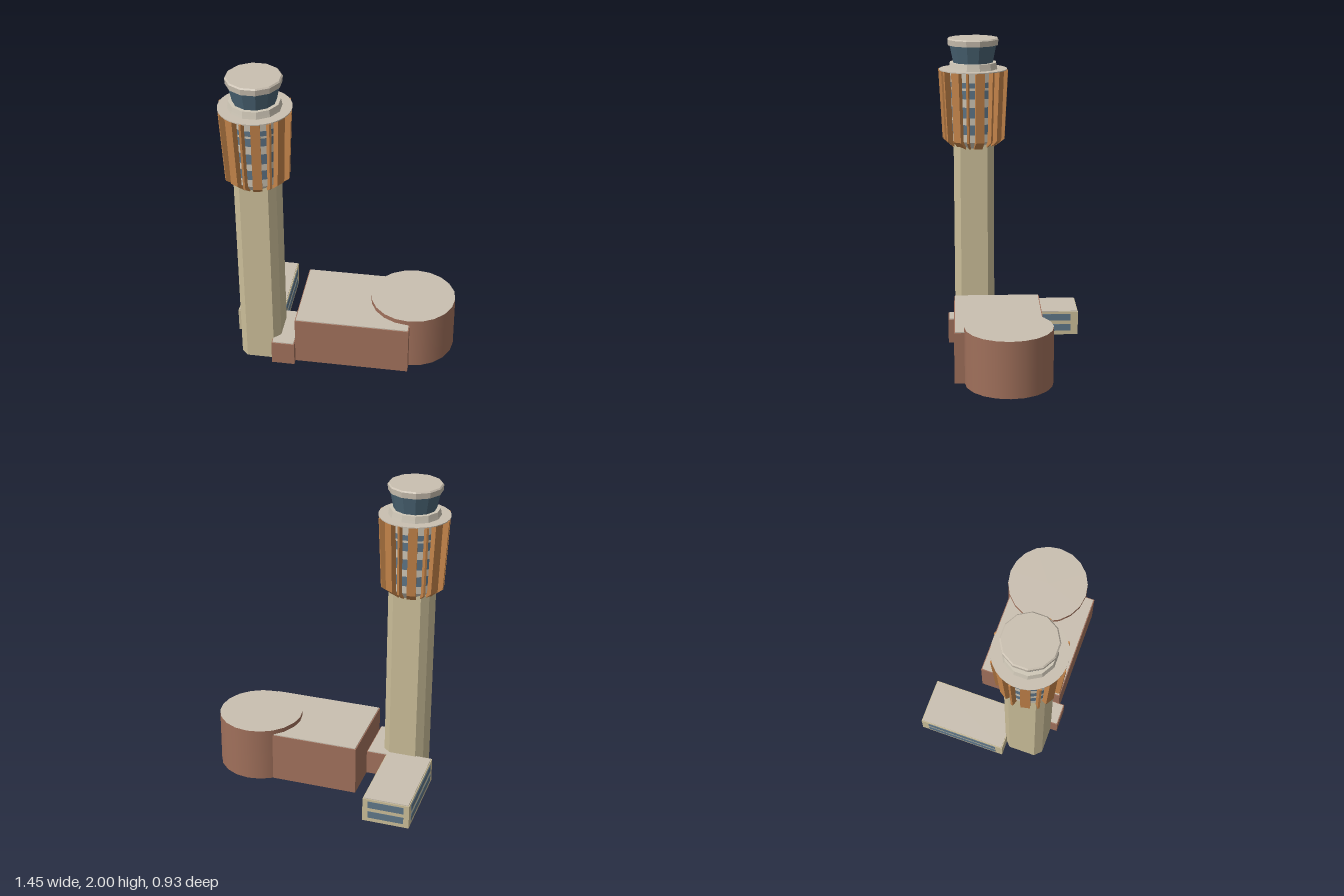
import * as THREE from 'three';

const mat = (name, color, side = THREE.FrontSide) => {
  const m = new THREE.MeshStandardMaterial({ color, side });
  m.name = name;
  return m;
};

export function createModel() {
  const model = new THREE.Group();
  model.name = 'controlTower';
  const D = THREE.DoubleSide;
  const concrete = mat('sandConcrete', 0xcabd98, D);
  const brick = mat('redBrick', 0xa0705b, D);
  const roofing = mat('roofGrey', 0xc9bfb0, D);
  const timber = mat('orangeFins', 0xc4844a);
  const panel = mat('paleCladding', 0xcfc7b7, D);
  const windowBlue = mat('windowBlue', 0x5f7688);
  const cabGlass = mat('cabGlass', 0x4a6474);

  const add = (parent, name, geo, material, x = 0, y = 0, z = 0) => {
    const mesh = new THREE.Mesh(geo, material);
    mesh.name = name;
    mesh.position.set(x, y, z);
    parent.add(mesh);
    return mesh;
  };

  // Faceted frustum between two heights
  const frustum = (r0, r1, y0, y1, sides, open = false) => {
    const g = new THREE.CylinderGeometry(r1, r0, y1 - y0, sides, 1, open, Math.PI / sides);
    g.translate(0, (y0 + y1) / 2, 0);
    const flat = g.toNonIndexed();
    flat.computeVertexNormals();
    return flat;
  };

  // Box building with an open underside and a slightly inset roof slab
  const building = (name, x0, x1, z0, z1, h, material) => {
    const group = new THREE.Group();
    group.name = name;
    model.add(group);
    const w = x1 - x0, d = z1 - z0, x = (x0 + x1) / 2, z = (z0 + z1) / 2, rim = 0.006;
    const walls = new THREE.BoxGeometry(w, h - rim, d);
    const ix = Array.from(walls.index.array);
    ix.splice(18, 6);
    walls.setIndex(ix);
    walls.clearGroups();
    add(group, 'walls', walls, material, x, (h - rim) / 2, z);
    add(group, 'roof', new THREE.BoxGeometry(w - 2 * rim, 0.02, d - 2 * rim), roofing, x, h - 0.01, z);
    return group;
  };

  // Low buildings
  building('mainBlock', -0.27, 0.46, -0.187, 0.37, 0.33, brick);
  building('connector', -0.418, -0.27, 0.068, 0.41, 0.165, brick);
  const annex = building('annex', -0.7, -0.4, -0.462, 0.115, 0.165, concrete);
  for (const y of [0.05, 0.122]) {
    for (const x of [-0.7, -0.4])
      add(annex, 'sideWindows', new THREE.BoxGeometry(0.006, 0.046, 0.48), windowBlue, x, y, -0.173);
    add(annex, 'endWindows', new THREE.BoxGeometry(0.23, 0.046, 0.006), windowBlue, -0.55, y, -0.462);
  }

  // Round hall
  const hall = new THREE.Group();
  hall.name = 'roundHall';
  hall.position.set(0.452, 0, 0.035);
  model.add(hall);
  add(hall, 'walls', new THREE.CylinderGeometry(0.273, 0.273, 0.36, 20, 1, true), brick, 0, 0.18, 0);
  add(hall, 'roof', new THREE.CircleGeometry(0.273, 20).rotateX(-Math.PI / 2), roofing, 0, 0.36, 0);

  // Tower
  const tower = new THREE.Group();
  tower.name = 'tower';
  tower.position.set(-0.5, 0, 0.233);
  model.add(tower);

  // Shaft: square with chamfered corners
  const a = 0.131, b = 0.088;
  const outline = [[a, -b], [a, b], [b, a], [-b, a], [-a, b], [-a, -b], [-b, -a], [b, -a]];
  const section = new THREE.Shape(outline.map(([x, y]) => new THREE.Vector2(x, y)));
  const shaft = new THREE.ExtrudeGeometry(section, { depth: 1.32, bevelEnabled: false });
  add(tower, 'shaft', shaft.rotateX(-Math.PI / 2), concrete);

  // Office drum in alternating cladding and window bands
  const drumR = (y) => 0.168 + (y - 1.34) * 0.04;
  const levels = [1.34, 1.39, 1.455, 1.5, 1.57, 1.625, 1.68, 1.695, 1.73, 1.797];
  add(tower, 'drumUnderside', frustum(0.135, drumR(1.34), 1.295, 1.34, 16), panel);
  levels.slice(0, -1).forEach((y, i) => {
    const top = levels[i + 1];
    add(tower, i % 2 ? 'windowBand' : 'claddingBand',
      frustum(drumR(y), drumR(top), y, top, 16, true), i % 2 ? windowBlue : panel);
  });

  // Fins: wide and thin ones alternate around the drum
  const fin = (outerTop, outerBottom, width) => {
    const s = new THREE.Shape([[0.12, 1.29], [0.14, 1.29], [outerBottom, 1.34], [outerTop, 1.796], [0.12, 1.796]]
      .map(([r, y]) => new THREE.Vector2(r, y)));
    return new THREE.ExtrudeGeometry(s, { depth: width, bevelEnabled: false }).translate(0, 0, -width / 2);
  };
  const wideFin = fin(0.218, 0.196, 0.056), thinFin = fin(0.23, 0.206, 0.013);
  for (let i = 0; i < 16; i++) {
    const wide = i % 2 === 1;
    const m = add(tower, wide ? 'wideFin' : 'thinFin', wide ? wideFin : thinFin, timber);
    m.rotation.y = THREE.MathUtils.degToRad(-10.5 + i * 22.5 - 90);
  }

  // Deck, cab and cab roof
  add(tower, 'deck', frustum(0.222, 0.222, 1.794, 1.8, 32), roofing);
  add(tower, 'cabBaseLower', frustum(0.163, 0.16, 1.8, 1.815, 12), panel);
  add(tower, 'cabBase', frustum(0.16, 0.155, 1.815, 1.843, 12), panel);
  add(tower, 'cabGlass', frustum(0.132, 0.156, 1.843, 1.956, 12), cabGlass);
  add(tower, 'cabRoof', frustum(0.167, 0.17, 1.956, 1.992, 12), roofing);
  add(tower, 'cabRoofTop', frustum(0.17, 0.162, 1.992, 2.0, 12), roofing);

  return model;
}
